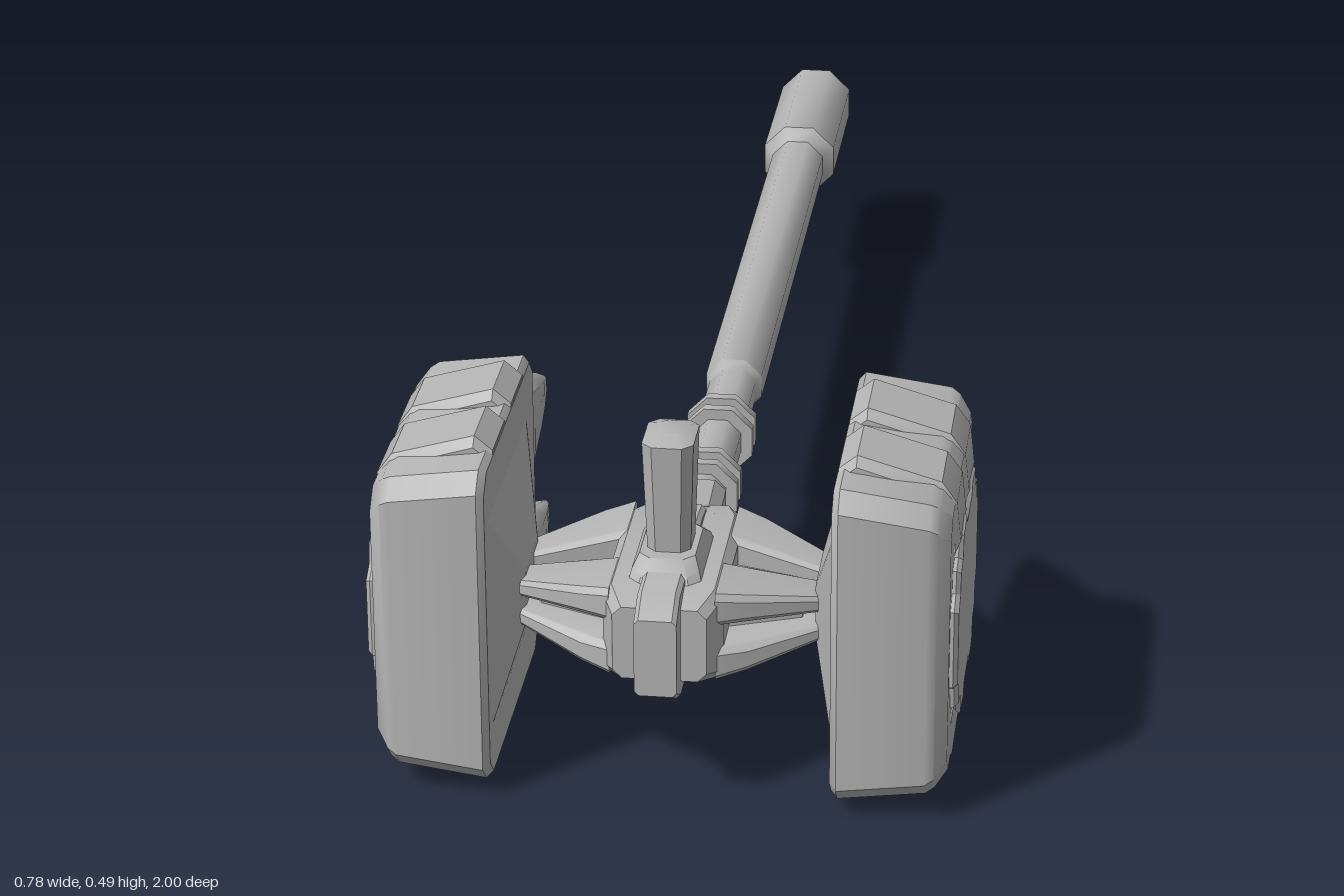
import * as THREE from 'three';
import { toCreasedNormals } from 'three/addons/utils/BufferGeometryUtils.js';
import { ConvexGeometry } from 'three/addons/geometries/ConvexGeometry.js';

const steel = new THREE.MeshStandardMaterial({ color: 0xb4b4b4 });
steel.name = 'steel grey';
const CY = 0.235, CZ = 0.8; // centre of the hammer core
const HY = 0.245, HZ = 0.775; // centre of each striking head

export function createModel() {
  const model = new THREE.Group();
  model.name = 'warHammer';

  const add = (parent, name, geometry, crease = 0.6) => {
    const mesh = new THREE.Mesh(toCreasedNormals(geometry, crease), steel);
    mesh.name = name;
    parent.add(mesh);
    return mesh;
  };

  // Solid hull over chamfered rectangles: [position, centreU, centreV, halfU, halfV, chamfer]
  const hull = (slices, place) => {
    const points = [];
    for (const [p, cu, cv, hu, hv, c] of slices)
      for (const a of [-1, 1]) for (const b of [-1, 1])
        points.push(place(p, cu + a * hu, cv + b * (hv - c)), place(p, cu + a * (hu - c), cv + b * hv));
    return new ConvexGeometry(points);
  };
  const alongX = (s) => (p, u, v) => new THREE.Vector3(s * p, u, v);
  const alongY = (p, u, v) => new THREE.Vector3(u, p, v);
  const alongZ = (s) => (p, u, v) => new THREE.Vector3(s * u, v, p);

  // Faceted rod lying on the z axis
  const rod = (name, z0, z1, r0, r1, crease = 0.9) => {
    const g = new THREE.CylinderGeometry(r1, r0, z1 - z0, 8);
    g.rotateY(Math.PI / 8);
    g.rotateX(Math.PI / 2);
    g.translate(0, CY, (z0 + z1) / 2);
    return add(model, name, g, crease);
  };

  // Handle
  rod('pommelGrip', -1, -0.735, 0.061, 0.061);
  rod('pommelTaper', -0.735, -0.71, 0.061, 0.043);
  rod('shaft', -0.715, 0.15, 0.044, 0.044);
  rod('shaftTaper', 0.15, 0.17, 0.044, 0.036);
  rod('neck', 0.165, 0.7, 0.036, 0.036);
  for (const z of [0.295, 0.333, 0.472, 0.51]) rod('neckRing', z - 0.008, z + 0.008, 0.053, 0.053);
  add(model, 'neckSocket', hull([
    [0.54, 0, CY, 0.036, 0.036, 0.015],
    [0.66, 0, CY, 0.042, 0.055, 0.015],
  ], alongZ(1)));

  // Core block, band around it and the upright peg
  add(model, 'coreBlock', hull([
    [0.645, 0, CY, 0.065, 0.05, 0.012],
    [0.7, 0, CY, 0.08, 0.065, 0.012],
    [0.92, 0, CY, 0.08, 0.065, 0.012],
    [0.96, 0, CY, 0.062, 0.052, 0.012],
  ], alongZ(1)));
  add(model, 'coreBand', hull([
    [0.69, 0, CY, 0.028, 0.072, 0.006],
    [0.73, 0, CY, 0.028, 0.078, 0.006],
    [0.96, 0, CY, 0.028, 0.078, 0.006],
    [1.0, 0, CY, 0.028, 0.055, 0.006],
  ], alongZ(1)));
  add(model, 'pegCollar', hull([
    [0.29, 0, 0.835, 0.05, 0.085, 0.015],
    [0.31, 0, 0.835, 0.045, 0.075, 0.015],
    [0.325, 0, 0.835, 0.037, 0.055, 0.015],
  ], alongY));
  add(model, 'uprightPeg', hull([
    [0.3, 0, 0.835, 0.028, 0.034, 0.012],
    [0.48, 0, 0.835, 0.034, 0.045, 0.014],
    [0.49, 0, 0.835, 0.014, 0.02, 0.006],
  ], alongY));

  // Outline of the bands that wrap over the edge of each head
  const bandProfile = [[0.226, 0.47], [0.25, 0.49], [0.36, 0.458], [0.38, 0.43], [0.386, 0.375], [0.3, 0.37], [0.226, 0.39]];
  // One quarter of the raised plate on the striking face
  const quarter = [[0.175, 0.055], [0.15, 0.07], [0.145, 0.1], [0.115, 0.105], [0.105, 0.135], [0.05, 0.14], [0.035, 0.125]];

  for (const s of [1, -1]) {
    const side = new THREE.Group();
    side.name = s > 0 ? 'leftHead' : 'rightHead';
    model.add(side);

    // Forked arm joining core and head
    for (const a of [1, -1]) for (const b of [1, -1])
      add(side, 'armProng', hull([
        [0.07, CY + a * 0.04, CZ + b * 0.085, 0.023, 0.052, 0.008],
        [0.11, CY + a * 0.036, CZ + b * 0.075, 0.019, 0.045, 0.008],
        [0.2, CY + a * 0.021, CZ + b * 0.04, 0.011, 0.027, 0.005],
      ], alongX(s)));
    add(side, 'armCore', hull([
      [0.07, CY, CZ, 0.025, 0.07, 0.005],
      [0.175, CY, CZ, 0.016, 0.04, 0.005],
    ], alongX(s)));

    // Tapered back plate and main block
    add(side, 'backPlate', hull([
      [0.193, HY - 0.005, CZ, 0.038, 0.05, 0.004],
      [0.226, HY, 0.79, 0.153, 0.16, 0.004],
    ], alongX(s)), 0.15);
    add(side, 'headBlock', hull([
      [0.225, HY, HZ, 0.22, 0.197, 0.025],
      [0.234, HY, HZ, 0.227, 0.205, 0.025],
      [0.35, HY, HZ, 0.211, 0.205, 0.025],
      [0.362, HY, HZ, 0.204, 0.2, 0.025],
      [0.378, HY, HZ, 0.185, 0.182, 0.025],
    ], alongX(s)));

    // Two bands over the top and two under the bottom
    for (const up of [1, -1]) for (const z of [0.845, 0.7]) {
      const points = [];
      for (const [dz, inset] of [[-0.058, 0.012], [-0.046, 0], [0.046, 0], [0.058, 0.012]])
        for (const [x, y] of bandProfile)
          points.push(new THREE.Vector3(s * (x > 0.35 ? x - inset * 0.5 : x), HY + up * (y - inset - HY), z + dz));
      add(side, 'edgeBand', new ConvexGeometry(points));
    }

    // Raised plate on the striking face
    const outline = [
      ...quarter,
      ...quarter.map(([x, y]) => [-x, y]).reverse(),
      ...quarter.map(([x, y]) => [-x, -y]),
      ...quarter.map(([x, y]) => [x, -y]).reverse(),
    ].map(([x, y]) => new THREE.Vector2(x, y));
    const plate = new THREE.ExtrudeGeometry(new THREE.Shape(outline), {
      depth: 0.015, bevelThickness: 0.006, bevelSize: 0.006, bevelOffset: -0.006, bevelSegments: 1,
    });
    plate.rotateY(s * Math.PI / 2);
    plate.translate(s * 0.368, HY, HZ);
    add(side, 'facePlate', plate);

    // Curved claws at the rear
    for (const up of [1, -1])
      add(side, 'claw', hull([
        [0.6, 0.275, HY + up * 0.108, 0.049, 0.075, 0.025],
        [0.56, 0.273, HY + up * 0.108, 0.047, 0.074, 0.025],
        [0.5, 0.262, HY + up * 0.106, 0.035, 0.052, 0.02],
        [0.45, 0.252, HY + up * 0.102, 0.022, 0.032, 0.012],
        [0.41, 0.24, HY + up * 0.098, 0.006, 0.014, 0.004],
      ], alongZ(s)), 0.8);
  }
  return model;
}
